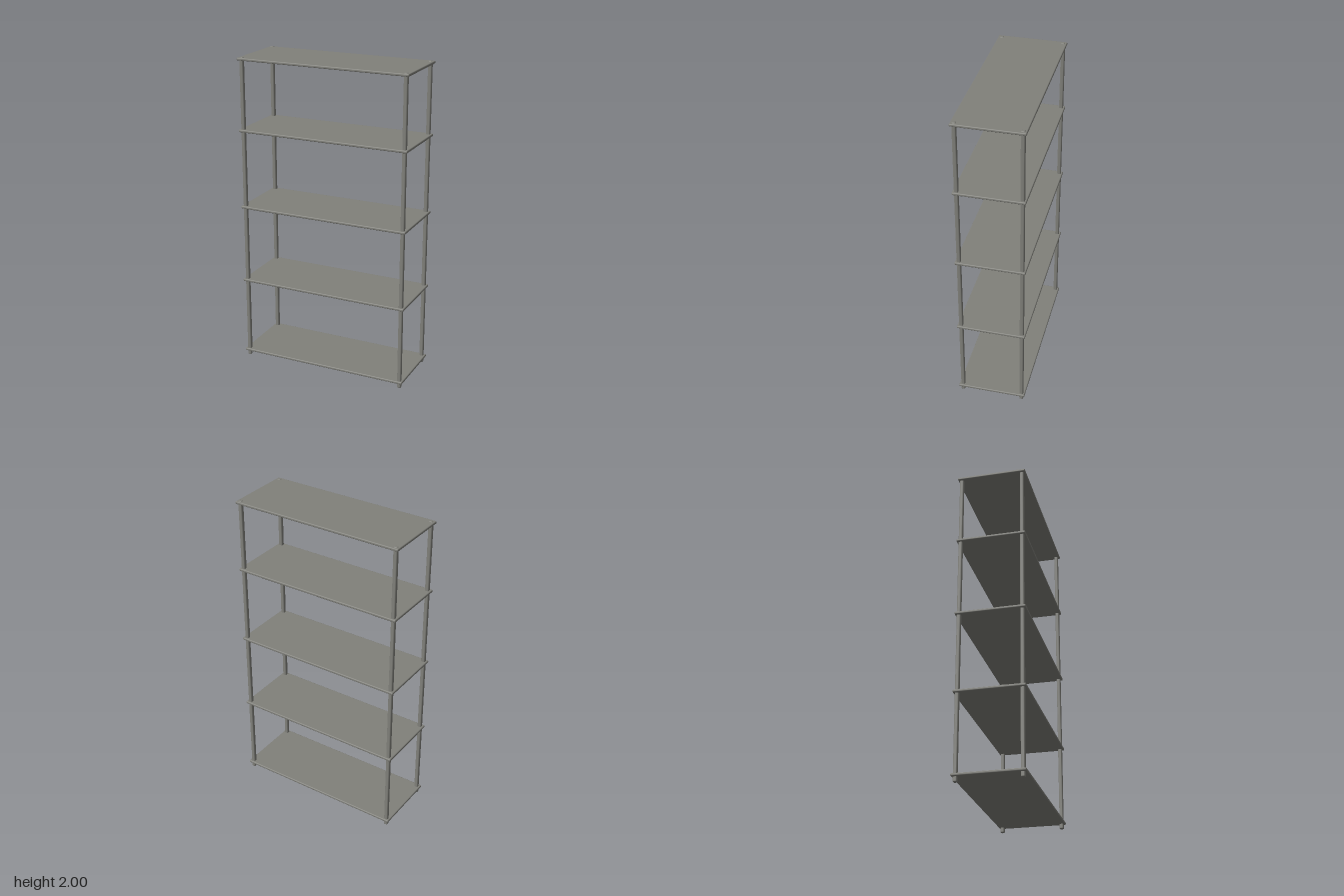
import * as THREE from 'three';
import { RoundedBoxGeometry } from 'three/addons/geometries/RoundedBoxGeometry.js';

export function createModel() {
  const group = new THREE.Group();
  const metal = new THREE.MeshStandardMaterial({ color: 0x80807a });
  metal.name = 'warm grey metal';

  const add = (name, geometry, x, y, z) => {
    const mesh = new THREE.Mesh(geometry, metal);
    mesh.name = name;
    mesh.position.set(x, y, z);
    group.add(mesh);
  };

  // Five softly rounded shelf boards; the top gap is slightly shorter
  const shelf = new RoundedBoxGeometry(1.12, 0.017, 0.432, 3, 0.006);
  [0.04, 0.54, 1.04, 1.54, 1.988].forEach((y, i) => add(`shelf${i + 1}`, shelf, 0, y, 0));

  // Four corner posts, running through the boards and just above the top one
  const post = new RoundedBoxGeometry(0.025, 2, 0.025, 3, 0.007);
  for (const [side, x] of [['Left', 0.536], ['Right', -0.536]]) {
    add(`front${side}Post`, post, x, 1, 0.193);
    add(`back${side}Post`, post, x, 1, -0.193);
  }
  return group;
}
